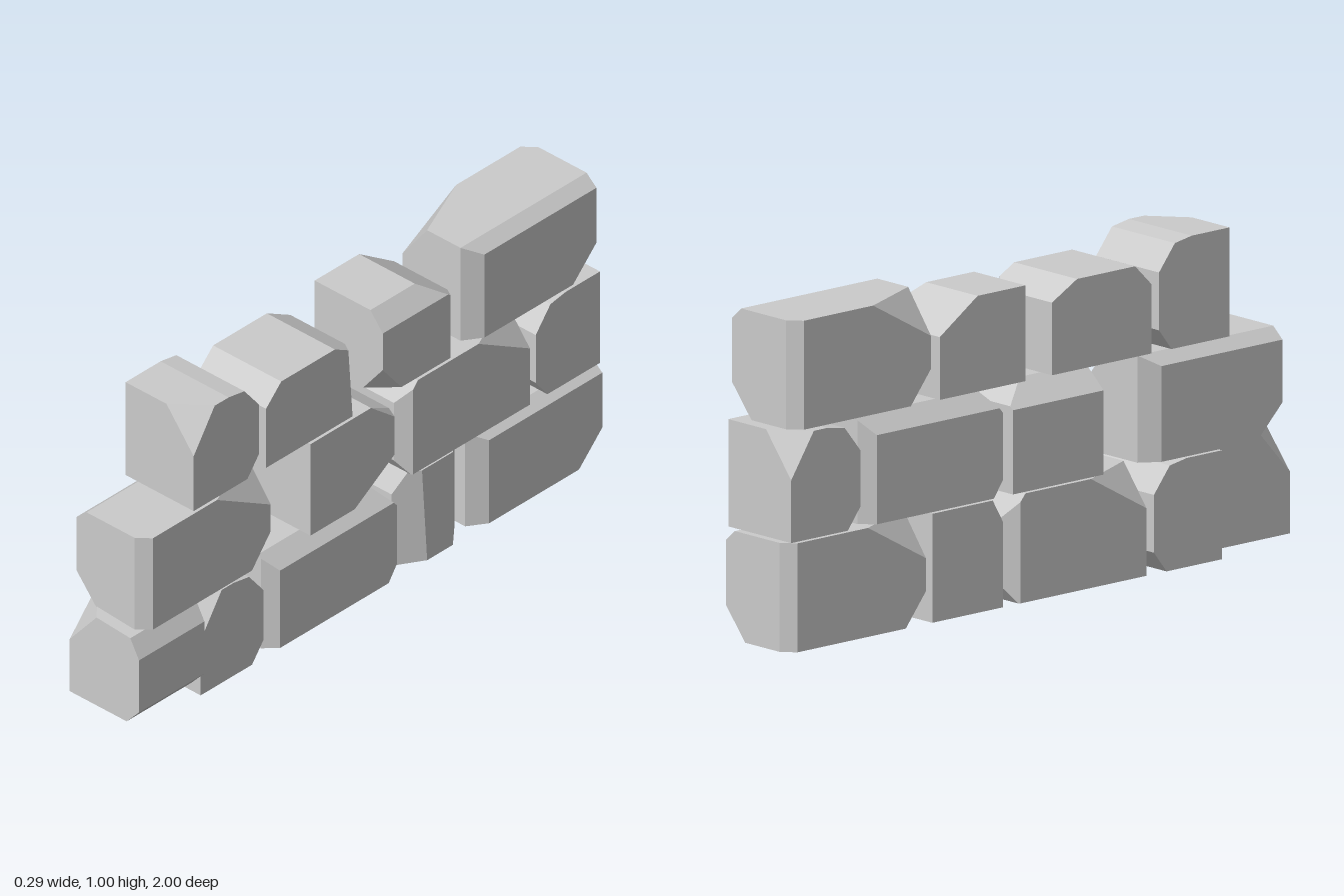
import * as THREE from 'three';
import { ConvexGeometry } from 'three/addons/geometries/ConvexGeometry.js';

const material = new THREE.MeshStandardMaterial({ color: 0xcccccc, flatShading: true });

// A stone is a box with planar cuts. Each cut chops the corner its signs point to,
// that far along each axis; leaving one axis out makes it an edge chamfer.
function stoneGeometry(box, cuts) {
  const planes = [];
  for (const axis of ['x', 'y', 'z']) {
    const n = new THREE.Vector3();
    n[axis] = 1;
    planes.push(new THREE.Plane(n, -box.max[axis]));
    planes.push(new THREE.Plane(n.clone().negate(), box.min[axis]));
  }
  for (const cut of cuts) {
    const n = new THREE.Vector3();
    let reach = -1;
    for (const [axis, d] of Object.entries(cut)) {
      n[axis] = 1 / d;
      reach += (d > 0 ? box.max : box.min)[axis] / d;
    }
    planes.push(new THREE.Plane(n, -reach).normalize());
  }
  // The corners are the meeting points of three planes that lie inside all others
  const points = [];
  const cross = new THREE.Vector3();
  planes.forEach((p, a) => planes.slice(0, a).forEach((q, b) => planes.slice(0, b).forEach((r) => {
    const det = cross.crossVectors(q.normal, r.normal).dot(p.normal);
    if (Math.abs(det) < 1e-6) return;
    const v = cross.clone().multiplyScalar(-p.constant);
    v.addScaledVector(cross.crossVectors(r.normal, p.normal), -q.constant);
    v.addScaledVector(cross.crossVectors(p.normal, q.normal), -r.constant);
    v.divideScalar(det);
    const inside = planes.every((s) => s.distanceToPoint(v) < 1e-5);
    if (inside && points.every((o) => o.distanceTo(v) > 1e-4)) points.push(v);
  })));
  return new ConvexGeometry(points);
}

// Turns a cut list half a turn about the vertical
const halfTurn = (cuts) => cuts.map((cut) => {
  const turned = { ...cut };
  for (const axis of ['x', 'z']) if (cut[axis]) turned[axis] = -cut[axis];
  return turned;
});

// Long block: top chamfer, two upright chamfers, chipped corners
const longCuts = [
  { x: 0.04, y: 0.035 }, { x: 0.04, z: 0.06 }, { x: -0.04, z: -0.035 },
  { x: 0.085, y: -0.1, z: -0.1 }, { x: -0.08, y: -0.1, z: 0.08 }, { x: -0.1, y: 0.13, z: 0.23 },
];
// Short block: rounded back and a chipped front top corner
const shortCuts = [
  { y: 0.09, z: -0.072 }, { y: 0.022, z: -0.13 }, { y: -0.065, z: -0.05 },
  { x: 0.11, y: 0.135, z: 0.09 },
];
// Wide block: top chamfer, upright chamfers, rounded end and a long chip
const wideCuts = [
  { x: 0.05, y: 0.055 }, { x: 0.04, z: 0.04 }, { x: -0.04, z: -0.04 },
  { y: -0.05, z: -0.035 }, { y: 0.07, z: -0.06 }, { x: -0.1, y: 0.125, z: 0.22 },
];
// End block: bevelled side and a sloping top
const endCuts = [
  { x: 0.05, y: -0.055 }, { x: 0.045, y: 0.08 }, { x: 0.28, y: 0.02 },
  { x: -0.115, y: 0.135, z: 0.12 },
];
// Narrow block: upright bevels
const narrowCuts = [
  { x: 0.06, z: -0.07 }, { x: 0.06, y: -1.5, z: 0.1 }, { y: 0.07, z: 0.04 },
];
// Chipped block: broken corners at one end
const chippedCuts = [
  { x: 0.09, y: 0.08, z: -0.1 }, { x: 0.1, y: -0.11, z: -0.17 },
  { y: 0.06, z: -0.1 }, { x: -0.08, y: 0.07 },
];
// Rounded block: both top ends bevelled
const roundedCuts = [
  { y: 0.065, z: 0.065 }, { y: 0.055, z: -0.1 }, { x: 0.06, y: 0.6, z: -0.045 },
];
// Sloped block: top falling to the back
const slopedCuts = [
  { y: 0.1, z: -0.15 }, { x: 0.05, y: 0.06 }, { x: 0.06, z: -0.05 },
  { x: 0.08, y: -0.1, z: 0.08 },
];

export function createModel() {
  const wall = new THREE.Group();
  wall.name = 'stoneWall';

  function addStone(name, back, front, bottom, top, cuts, left = -0.145, right = 0.13) {
    const box = new THREE.Box3(
      new THREE.Vector3(left, bottom, back), new THREE.Vector3(right, top, front));
    const mesh = new THREE.Mesh(stoneGeometry(box, cuts), material);
    mesh.name = name;
    wall.add(mesh);
  }

  // Bottom course
  addStone('bottomEndStone', 0.72, 1, 0.03, 0.35, endCuts, -0.135, 0.145);
  addStone('bottomShortStone', 0.45, 0.72, 0, 0.33, shortCuts);
  addStone('bottomWideStone', -0.12, 0.42, 0, 0.33, wideCuts);
  addStone('bottomNarrowStone', -0.43, -0.15, 0, 0.33, narrowCuts);
  addStone('bottomLongStone', -1, -0.455, 0, 0.33, longCuts);

  // Middle course
  addStone('middleLongStone', 0.42, 0.96, 0.335, 0.66, halfTurn(longCuts));
  addStone('middleChippedStone', -0.11, 0.25, 0.335, 0.66, chippedCuts);
  addStone('middleWideStone', -0.69, -0.15, 0.335, 0.66, [...halfTurn(wideCuts), wideCuts[1]]);
  addStone('middleShortStone', -0.99, -0.715, 0.335, 0.66, halfTurn(shortCuts));

  // Top course
  addStone('topShortStone', 0.47, 0.75, 0.67, 1, shortCuts);
  addStone('topRoundedStone', 0.045, 0.44, 0.67, 0.945, roundedCuts);
  addStone('topSlopedStone', -0.4, -0.06, 0.67, 0.96, slopedCuts);
  addStone('topLongStone', -0.975, -0.435, 0.67, 1, longCuts);
  return wall;
}
